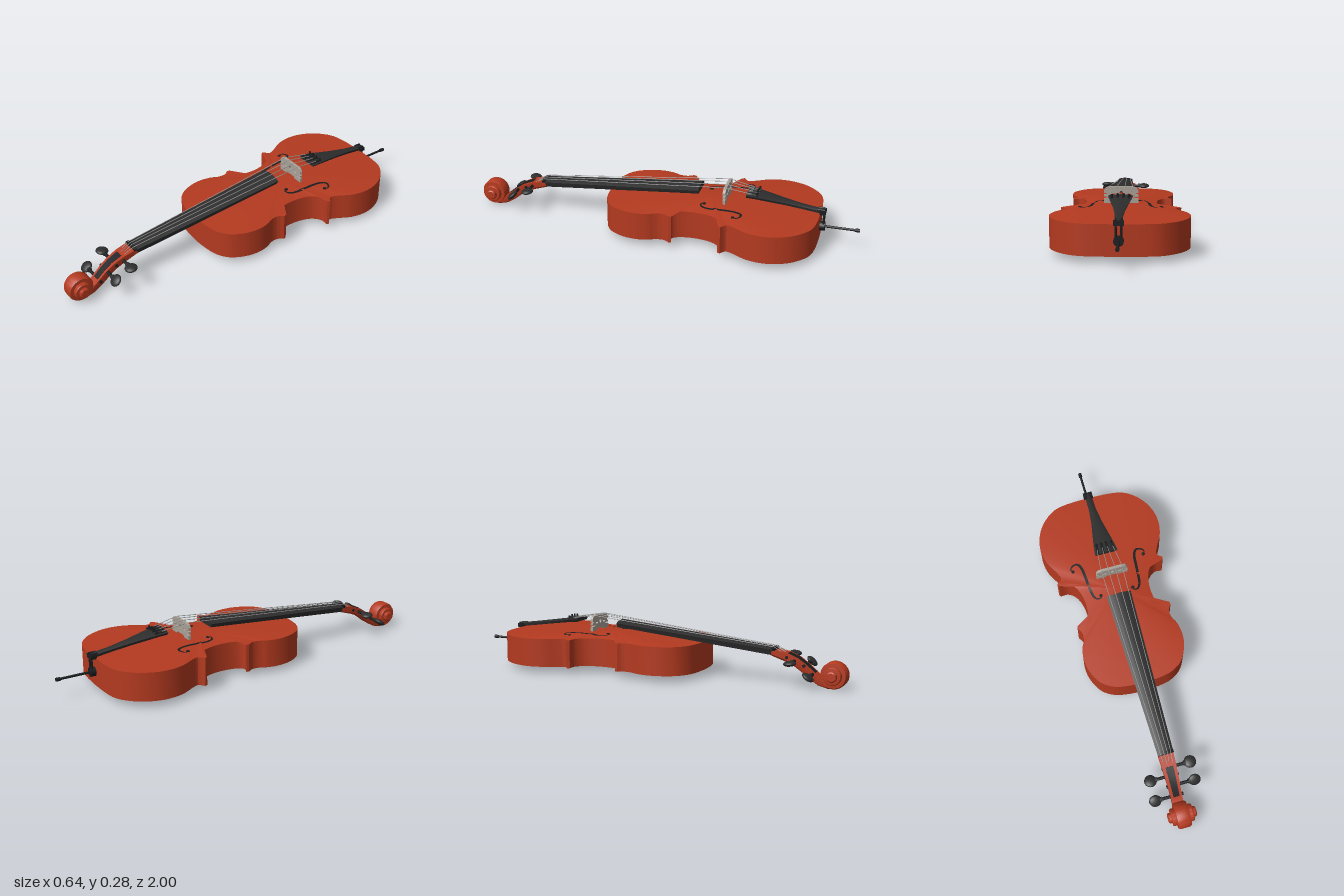
import * as THREE from 'three';
import { toCreasedNormals } from 'three/addons/utils/BufferGeometryUtils.js';

const mat = (name, color, side = THREE.FrontSide) => {
  const m = new THREE.MeshStandardMaterial({ color, side });
  m.name = name;
  return m;
};

// Skin a list of rings; each ring runs counter-clockwise seen from the next one's side
function loft(rings, caps = true) {
  const n = rings[0].length, idx = [];
  for (let i = 0; i < rings.length - 1; i++)
    for (let j = 0; j < n; j++) {
      const a = i * n + j, b = i * n + (j + 1) % n;
      idx.push(a, b, a + n, b, b + n, a + n);
    }
  if (caps) {
    const e = (rings.length - 1) * n;
    for (let j = 1; j < n - 1; j++) idx.push(0, j + 1, j, e, e + j, e + j + 1);
  }
  const g = new THREE.BufferGeometry();
  g.setAttribute('position', new THREE.Float32BufferAttribute(rings.flat(2), 3));
  g.setIndex(idx);
  return toCreasedNormals(g, 0.6);
}

// Board section with an arched top: half width, top, bottom, arch height
const boardRing = (z, w, top, bottom, arch) => [
  [-w * 0.85, bottom, z], [w * 0.85, bottom, z], [w, top - arch, z], [w * 0.6, top - arch * 0.35, z],
  [0, top, z], [-w * 0.6, top - arch * 0.35, z], [-w, top - arch, z]];

const smooth2 = (pts, n) => new THREE.SplineCurve(pts.map(p => new THREE.Vector2(...p))).getPoints(n);

// Body outline as [x, z], built from lower bout, waist and upper bout
function bodyOutline() {
  const lower = smooth2([[0, -0.805], [0.12, -0.8], [0.2, -0.78], [0.27, -0.72], [0.31, -0.645], [0.321, -0.57],
    [0.307, -0.495], [0.272, -0.43], [0.258, -0.39], [0.285, -0.365]], 36);
  const waist = smooth2([[0.278, -0.352], [0.235, -0.352], [0.195, -0.315], [0.174, -0.25], [0.172, -0.18],
    [0.185, -0.125], [0.21, -0.1], [0.245, -0.112]], 24);
  const upper = smooth2([[0.247, -0.098], [0.23, -0.07], [0.232, -0.03], [0.25, 0.01], [0.259, 0.07], [0.248, 0.14],
    [0.21, 0.21], [0.15, 0.25], [0.08, 0.265], [0, 0.27]], 36);
  const right = [...lower, ...waist, ...upper];
  const left = right.slice(1, -1).map(p => new THREE.Vector2(-p.x, p.y));
  return [...right.reverse(), ...left];
}

export function createModel() {
  const root = new THREE.Group();
  root.name = 'cello';
  const wood = mat('varnishedWood', 0xb43a20);
  const ebony = mat('ebony', 0x2d2d2d);
  const black = mat('darkFittings', 0x1b1c1e, THREE.DoubleSide);
  const maple = mat('paleBridge', 0xaaa298);
  const steel = mat('strings', 0xa0a0a0);

  const add = (name, geo, material, x = 0, y = 0, z = 0, parent = root) => {
    const m = new THREE.Mesh(geo, material);
    m.name = name;
    m.position.set(x, y, z);
    parent.add(m);
    return m;
  };
  const rod = (name, a, b, r, material, sides = 8) => {
    const A = new THREE.Vector3(...a), B = new THREE.Vector3(...b), d = B.clone().sub(A);
    const m = add(name, new THREE.CylinderGeometry(r, r, d.length(), sides), material);
    m.position.copy(A).add(B).multiplyScalar(0.5);
    m.quaternion.setFromUnitVectors(new THREE.Vector3(0, 1, 0), d.normalize());
    return m;
  };

  // Ribs and flat back
  const outline = bodyOutline();
  const bodyShape = new THREE.Shape(outline.map(p => new THREE.Vector2(p.x, -p.y)));
  const ribs = new THREE.ExtrudeGeometry(bodyShape, { depth: 0.143, bevelEnabled: false });
  ribs.rotateX(-Math.PI / 2);
  add('body', toCreasedNormals(ribs, 0.5), wood, 0, 0.035, 0);

  // Gently arched top plate
  const cz = -0.25;
  const domeRings = [1, 0.9, 0.75, 0.6, 0.45, 0.3, 0.15, 0.01].map(s =>
    outline.map(p => [p.x * s, 0.1785 + 0.019 * (1 - s ** 1.5), cz + (p.y - cz) * s]));
  const topPlate = add('topPlate', loft(domeRings, false), wood);
  topPlate.updateMatrixWorld();
  const ray = new THREE.Raycaster();
  const topY = (x, z) => {
    ray.set(new THREE.Vector3(x, 1, z), new THREE.Vector3(0, -1, 0));
    const hit = ray.intersectObject(topPlate)[0];
    return hit ? hit.point.y : 0.19;
  };

  // Sound holes: thin ribbons lying on the top plate
  const fPath = smooth2([[0.188, -0.4], [0.198, -0.42], [0.18, -0.438], [0.155, -0.435], [0.14, -0.4], [0.134, -0.33],
    [0.127, -0.26], [0.112, -0.228], [0.09, -0.224], [0.082, -0.24]], 40);
  for (const s of [-1, 1]) {
    const pos = [], idx = [];
    fPath.forEach((p, i) => {
      const q = fPath[Math.max(i - 1, 0)], r = fPath[Math.min(i + 1, 40)];
      const t = r.clone().sub(q).normalize(), w = 0.003 + 0.004 * Math.sin(Math.PI * i / 40) ** 2;
      for (const k of [-1, 1]) {
        const x = s * (p.x - t.y * w * k), z = p.y + t.x * w * k;
        pos.push(x, topY(x, z) + 0.0015, z);
      }
      if (i < 40) idx.push(2 * i, 2 * i + 1, 2 * i + 2, 2 * i + 1, 2 * i + 3, 2 * i + 2);
    });
    const g = new THREE.BufferGeometry();
    g.setAttribute('position', new THREE.Float32BufferAttribute(pos, 3));
    g.setIndex(idx);
    g.computeVertexNormals();
    add('soundHole', g, black);
    for (const [x, z] of [[0.19, -0.405], [0.085, -0.237]])
      add('soundHoleEye', new THREE.CylinderGeometry(0.009, 0.009, 0.003, 14), black, s * x, topY(s * x, z) + 0.0005, z);
  }

  // Fingerboard and nut
  add('fingerboard', loft([boardRing(-0.2, 0.063, 0.259, 0.225, 0.014), boardRing(0.64, 0.04, 0.18, 0.143, 0.01)]), ebony);
  add('nut', loft([boardRing(0.632, 0.041, 0.186, 0.15, 0.008), boardRing(0.648, 0.041, 0.184, 0.15, 0.008)]), black);

  // Pegbox sweeping down under the scroll: [z, y, half width, half thickness]
  const path = [[0.63, 0.157, 0.039, 0.016], [0.7, 0.138, 0.036, 0.02], [0.75, 0.117, 0.033, 0.021],
    [0.79, 0.09, 0.03, 0.021], [0.83, 0.057, 0.028, 0.02], [0.87, 0.03, 0.028, 0.018],
    [0.91, 0.017, 0.03, 0.014], [0.95, 0.013, 0.031, 0.01]];
  const sweep = (pts, box) => loft(pts.map(([z, y, w, h], i) => {
    const a = pts[Math.max(i - 1, 0)], b = pts[Math.min(i + 1, pts.length - 1)];
    const l = Math.hypot(b[0] - a[0], b[1] - a[1]), nz = -(b[1] - a[1]) / l, ny = (b[0] - a[0]) / l;
    return box(w, h).map(([u, v]) => [u, y + ny * v, z + nz * v]);
  }));
  add('pegbox', sweep(path, (w, h) => [[-w * 0.8, -h], [w * 0.8, -h], [w, -h * 0.5], [w, h], [-w, h], [-w, -h * 0.5]]), wood);
  add('pegboxChannel', sweep(path.slice(1, 5), (w, h) => [[-w * 0.55, h - 0.004], [w * 0.55, h - 0.004],
    [w * 0.55, h + 0.002], [-w * 0.55, h + 0.002]]), black);

  // Scroll with stepped eyes
  const half = [[0.0001, 0.071], [0.02, 0.071], [0.025, 0.067], [0.026, 0.055], [0.04, 0.054], [0.043, 0.05],
    [0.043, 0.034], [0.06, 0.033], [0.065, 0.022]];
  const profile = [...half.map(([r, h]) => [r, -h]), ...half.slice().reverse()].map(p => new THREE.Vector2(...p));
  const scroll = new THREE.LatheGeometry(profile, 36);
  scroll.rotateZ(Math.PI / 2);
  add('scroll', toCreasedNormals(scroll, 0.6), wood, 0, 0.068, 0.935);

  // Tuning pegs, alternating sides: [side, y, z, tilt of the flat head]
  const pegs = [[1, 0.138, 0.707, 0.1], [-1, 0.124, 0.745, -0.1], [1, 0.104, 0.792, 0.75], [-1, 0.067, 0.835, 0.6]];
  for (const [s, y, z, tilt] of pegs) {
    const peg = new THREE.Group();
    peg.name = 'tuningPeg';
    peg.position.set(0, y, z);
    peg.rotation.x = tilt;
    const shaft = new THREE.CylinderGeometry(0.008, 0.008, 0.125, 12);
    shaft.rotateZ(Math.PI / 2);
    add('pegShaft', shaft, black, s * 0.025, 0, 0, peg);
    const collar = new THREE.CylinderGeometry(0.012, 0.012, 0.012, 12);
    collar.rotateZ(Math.PI / 2);
    add('pegCollar', collar, ebony, s * 0.078, 0, 0, peg);
    const head = new THREE.SphereGeometry(1, 20, 12);
    head.scale(0.031, 0.013, 0.031);
    add('pegHead', head, ebony, s * 0.106, 0, 0, peg);
    root.add(peg);
  }

  // Bridge with cut-outs
  const hb = [[0.03, 0.206], [0.036, 0.196], [0.082, 0.196], [0.082, 0.218], [0.052, 0.22], [0.052, 0.225],
    [0.082, 0.226], [0.082, 0.236], [0.07, 0.238], [0.07, 0.243], [0.082, 0.244], [0.081, 0.257], [0.073, 0.27], [0.055, 0.276]];
  const bridgeShape = new THREE.Shape([...hb, ...hb.slice().reverse().map(([x, y]) => [-x, y])].map(p => new THREE.Vector2(...p)));
  for (const [x, y, rx, ry] of [[0, 0.242, 0.009, 0.012], [0.038, 0.236, 0.012, 0.006], [-0.038, 0.236, 0.012, 0.006]])
    bridgeShape.holes.push(new THREE.Path().absellipse(x, y, rx, ry, 0, Math.PI * 2, true));
  add('bridge', new THREE.ExtrudeGeometry(bridgeShape, { depth: 0.014, bevelEnabled: false }), maple, 0, 0, -0.342);

  // Tailpiece: [z, half width, top]
  const tail = [[-0.815, 0.018, 0.2], [-0.72, 0.019, 0.213], [-0.63, 0.029, 0.227], [-0.54, 0.045, 0.241],
    [-0.48, 0.055, 0.25], [-0.44, 0.06, 0.254]];
  add('tailpiece', loft(tail.map(([z, w, t]) => boardRing(z, w, t, t - 0.02, 0.007))), ebony);

  // Saddle, tail cords and endpin
  add('saddle', new THREE.BoxGeometry(0.048, 0.02, 0.03), black, 0, 0.186, -0.815);
  for (const s of [-1, 1]) {
    rod('tailCord', [s * 0.013, 0.2, -0.822], [s * 0.011, 0.1, -0.822], 0.005, black);
    rod('tailCordTop', [s * 0.013, 0.199, -0.79], [s * 0.013, 0.199, -0.826], 0.005, black);
  }
  rod('endpinCollar', [0, 0.107, -0.8], [0, 0.107, -0.83], 0.023, black, 20);
  rod('endpin', [0, 0.107, -0.82], [0, 0.107, -0.995], 0.006, black, 12);
  rod('endpinTip', [0, 0.107, -0.978], [0, 0.107, -1], 0.009, black, 12);

  // Strings with tuners on the tailpiece
  const order = [3, 1, 0, 2];
  for (let i = 0; i < 4; i++) {
    const k = (i - 1.5) / 1.5, drop = 0.004 * k * k;
    const nut = [k * 0.026, 0.187 - drop, 0.64], crown = [k * 0.055, 0.278 - drop * 0.6, -0.335];
    const end = [k * 0.042, 0.257 - drop, -0.465], p = pegs[order[i]];
    rod('string', nut, crown, 0.0018, steel, 6);
    rod('stringEnd', crown, end, 0.0018, steel, 6);
    rod('stringToPeg', nut, [k * 0.014, p[1] + 0.008, p[2]], 0.0018, steel, 6);
    rod('fineTuner', [k * 0.042, 0.252 - drop, -0.44], [k * 0.038, 0.25 - drop, -0.5], 0.006, black);
    add('tunerScrew', new THREE.CylinderGeometry(0.005, 0.005, 0.018, 10), black, k * 0.04, 0.257 - drop, -0.492);
  }
  return root;
}
